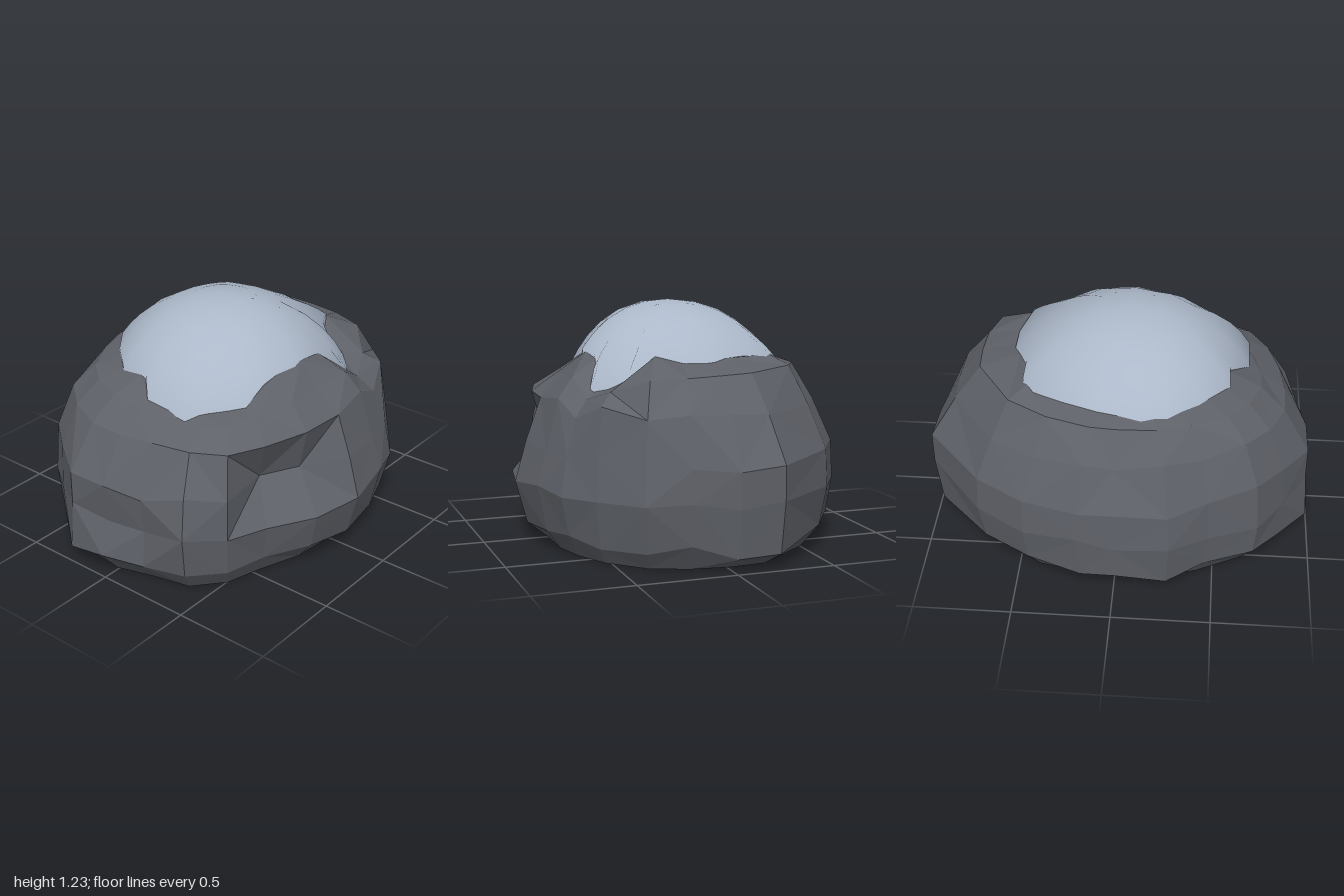
import * as THREE from 'three';

const TAU = Math.PI * 2;

// Small seeded noise in -1..1
let seed = 7;
const noise = () => {
  seed = (seed * 16807) % 2147483647;
  return (seed / 2147483647) * 2 - 1;
};

// Directions of the rock's columns, in degrees from +x towards +z
const ANGLES = [-1, 12, 25.5, 42, 56, 70, 90, 110, 129, 142, 154.5, 168, 181, 193.5, 207, 220, 236.5, 251.5, 270, 282,
  301.5, 320, 346.5].map(THREE.MathUtils.degToRad);

// Heights of the rock rings, and the radius of each column there
const HEIGHTS = [0, 0.1, 0.31, 0.52, 0.74, 0.88];
const RADII = [
  [.86, .85, .84, .79, .74, .70, .66, .68, .72, .82, .88, .86, .90, .90, .85, .82, .76, .73, .70, .71, .75, .79, .87],
  [.97, .93, .90, .84, .81, .78, .77, .78, .79, .89, .96, .95, 1.0, 1.02, .94, .92, .83, .84, .82, .82, .85, .89, 1.0],
  [1.0, .96, .95, .88, .86, .83, .83, .83, .83, .92, 1.0, .93, .94, 1.0, .95, .94, .85, .87, .83, .84, .88, .93, 1.03],
  [1.0, .95, .91, .85, .82, .78, .77, .66, .67, .91, .96, .95, .97, 1.0, .94, .92, .84, .85, .82, .83, .87, .92, 1.03],
  [.87, .88, .87, .81, .75, .70, .69, .72, .78, .84, .84, .83, .84, .86, .85, .83, .76, .75, .72, .74, .77, .82, .89],
  [.74, .75, .76, .71, .66, .62, .56, .58, .62, .70, .72, .70, .71, .73, .73, .71, .66, .64, .62, .63, .66, .71, .75],
];

// Ragged lower edge of the snow: x, y, z
const SNOW_EDGE = [
  [.56, .95, .10], [.50, .99, .25], [.40, .99, .30], [.41, .88, .35], [.43, .82, .42], [.32, .80, .52],
  [.26, .90, .48], [.20, .93, .45], [.13, .96, .44], [-.05, .97, .45], [-.24, .92, .40], [-.40, .85, .42],
  [-.55, .84, .30], [-.65, .84, .24], [-.65, .86, 0], [-.55, .92, -.10], [-.55, .91, -.25], [-.40, .92, -.42],
  [-.25, .92, -.54], [-.12, .92, -.57], [.10, .93, -.53], [.27, .94, -.48], [.42, .95, -.43], [.48, .98, -.36],
  [.48, .99, -.22], [.56, .95, -.05],
].map((p) => new THREE.Vector3(...p));

const polar = (angle, r, y) => new THREE.Vector3(Math.cos(angle) * r, y, Math.sin(angle) * r);

// Point on the snow edge in a given direction
function edgeAt(angle) {
  const turn = (p) => (Math.atan2(p.z, p.x) - angle + TAU * 2) % TAU;
  const order = [...SNOW_EDGE].sort((a, b) => turn(a) - turn(b));
  const next = order[0], last = order[order.length - 1];
  const before = TAU - turn(last);
  return last.clone().lerp(next, before / (before + turn(next)));
}

// Joins closed rings of equal length into one skin
function loft(rings) {
  const n = rings[0].length, index = [];
  for (let k = 0; k < rings.length - 1; k++) {
    for (let i = 0; i < n; i++) {
      const a = k * n + i, b = k * n + (i + 1) % n, c = a + n, d = b + n;
      if (((i >> 1) + k) % 2) index.push(a, d, b, a, c, d);
      else index.push(a, c, b, b, c, d);
    }
  }
  const geometry = new THREE.BufferGeometry().setFromPoints(rings.flat());
  geometry.setIndex(index);
  geometry.computeVertexNormals();
  return geometry;
}

// Faceted boulder, open underneath and below the snow
function rockGeometry() {
  const edge = ANGLES.map(edgeAt);
  const rings = RADII.map((radii, k) => radii.map((r, i) => {
    let y = HEIGHTS[k];
    if (k === 4) y = Math.min(y, edge[i].y - 0.11);
    if (k === 5) y = Math.min(y + 0.03 * (Math.cos(ANGLES[i]) - Math.sin(ANGLES[i])), edge[i].y - 0.03);
    // The notch in the front stays crisp
    const notch = k > 1 && i > 5 && i < 10;
    if (k > 0 && k < 5 && !notch) y += noise() * 0.035;
    return polar(ANGLES[i], r, y);
  }));
  // Shoulder meeting the snow, then a lip tucked beneath it
  rings.push(edge);
  rings.push(edge.map((p) => new THREE.Vector3(p.x * 0.95, p.y, p.z * 0.95)));
  return loft(rings);
}

// Smooth dome whose surface bends down to the ragged edge
function snowGeometry() {
  const centre = new THREE.Vector3(-0.05, 0.5, -0.02), radius = 0.72, rise = 0.725;
  const dome = (x, z) => {
    const d = Math.hypot(x - centre.x, z - centre.z) / radius;
    return centre.y + rise * Math.sqrt(Math.max(0, 1 - d * d));
  };
  // Skirt hidden inside the rock
  const rings = [SNOW_EDGE.map((p) => new THREE.Vector3(p.x, p.y - 0.12, p.z))];
  for (const s of [1, 0.92, 0.82, 0.68, 0.5, 0.28, 0]) {
    rings.push(SNOW_EDGE.map((p) => {
      const q = centre.clone().lerp(p, s);
      q.y = dome(q.x, q.z) + (p.y + 0.008 - dome(p.x, p.z)) * s ** 4;
      return q;
    }));
  }
  const geometry = loft(rings);
  // Normals follow the dome so the shading stays even
  const { position, normal } = geometry.attributes, v = new THREE.Vector3();
  for (let i = 0; i < position.count; i++) {
    v.fromBufferAttribute(position, i).sub(centre).normalize();
    normal.setXYZ(i, v.x, v.y, v.z);
  }
  return geometry;
}

export function createModel() {
  seed = 7;
  const group = new THREE.Group();
  group.name = 'snowCappedRock';

  const rock = new THREE.Mesh(rockGeometry(), new THREE.MeshStandardMaterial({
    color: 0x5e6168, flatShading: true, side: THREE.DoubleSide,
  }));
  rock.name = 'rock';

  const snow = new THREE.Mesh(snowGeometry(), new THREE.MeshStandardMaterial({
    color: 0xacb8c9, side: THREE.DoubleSide,
  }));
  snow.name = 'snowCap';

  group.add(rock, snow);
  return group;
}
